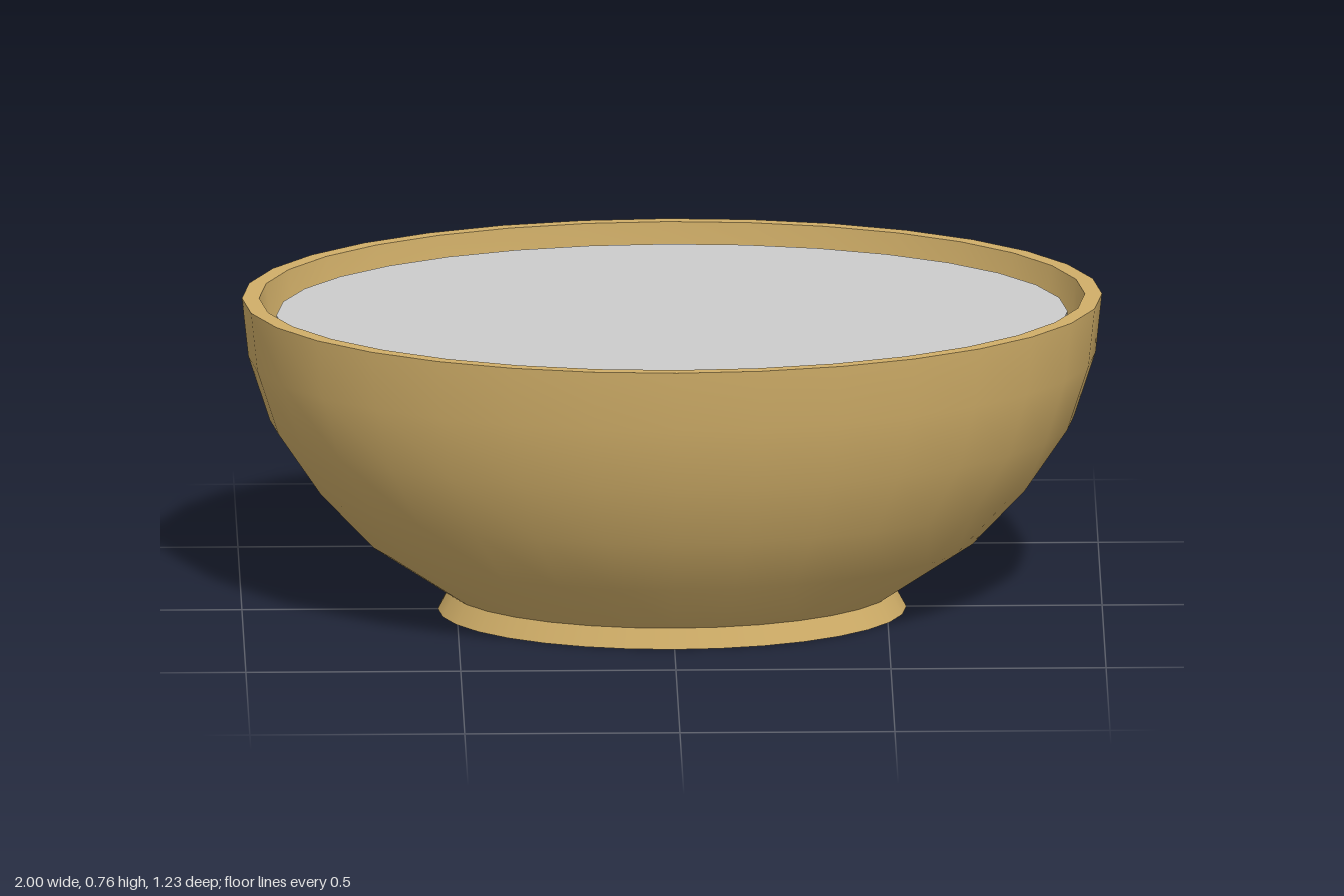
import * as THREE from 'three';

const SEGMENTS = 32;
const DEPTH = 0.617; // oval: depth relative to width

// Oval surface of revolution from [radius, height] points.
function ovalLathe(name, points, material, depth = DEPTH) {
  const profile = points.map(([r, y]) => new THREE.Vector2(r, y));
  const geometry = new THREE.LatheGeometry(profile, SEGMENTS);
  geometry.scale(1, 1, depth);
  const mesh = new THREE.Mesh(geometry, material);
  mesh.name = name;
  return mesh;
}

export function createModel() {
  const model = new THREE.Group();
  model.name = 'ovalBowl';
  const tan = new THREE.MeshStandardMaterial({ color: 0xd0ae68 });
  const grey = new THREE.MeshStandardMaterial({ color: 0xcccccc });

  // Bowl wall, split at the rim edges to keep them sharp
  const outer = [[0.52, 0.047], [0.71, 0.175], [0.835, 0.31], [0.935, 0.46], [0.985, 0.615], [1, 0.757]];
  const inner = [[0.96, 0.757], [0.945, 0.615], [0.895, 0.46], [0.795, 0.32], [0.67, 0.2], [0.48, 0.09], [0, 0.09]];
  const bowl = new THREE.Group();
  bowl.name = 'bowl';
  bowl.add(
    ovalLathe('outerWall', outer, tan),
    ovalLathe('rim', [[1, 0.757], [0.96, 0.757]], tan),
    ovalLathe('innerWall', inner, tan)
  );

  // Flared foot with a closed base
  const foot = new THREE.Group();
  foot.name = 'foot';
  foot.add(
    ovalLathe('footSide', [[0.545, 0], [0.52, 0.047]], tan),
    ovalLathe('footBase', [[0, 0], [0.545, 0]], tan)
  );

  // Filling, slightly smaller than the inside of the bowl
  const filling = new THREE.Group();
  filling.name = 'filling';
  const fillDepth = 0.6;
  filling.add(
    ovalLathe('fillingSide', [[0.46, 0.11], [0.64, 0.21], [0.77, 0.33], [0.87, 0.47], [0.91, 0.6], [0.92, 0.715]], grey, fillDepth),
    ovalLathe('fillingTop', [[0.92, 0.715], [0, 0.715]], grey, fillDepth)
  );

  model.add(bowl, foot, filling);
  return model;
}
